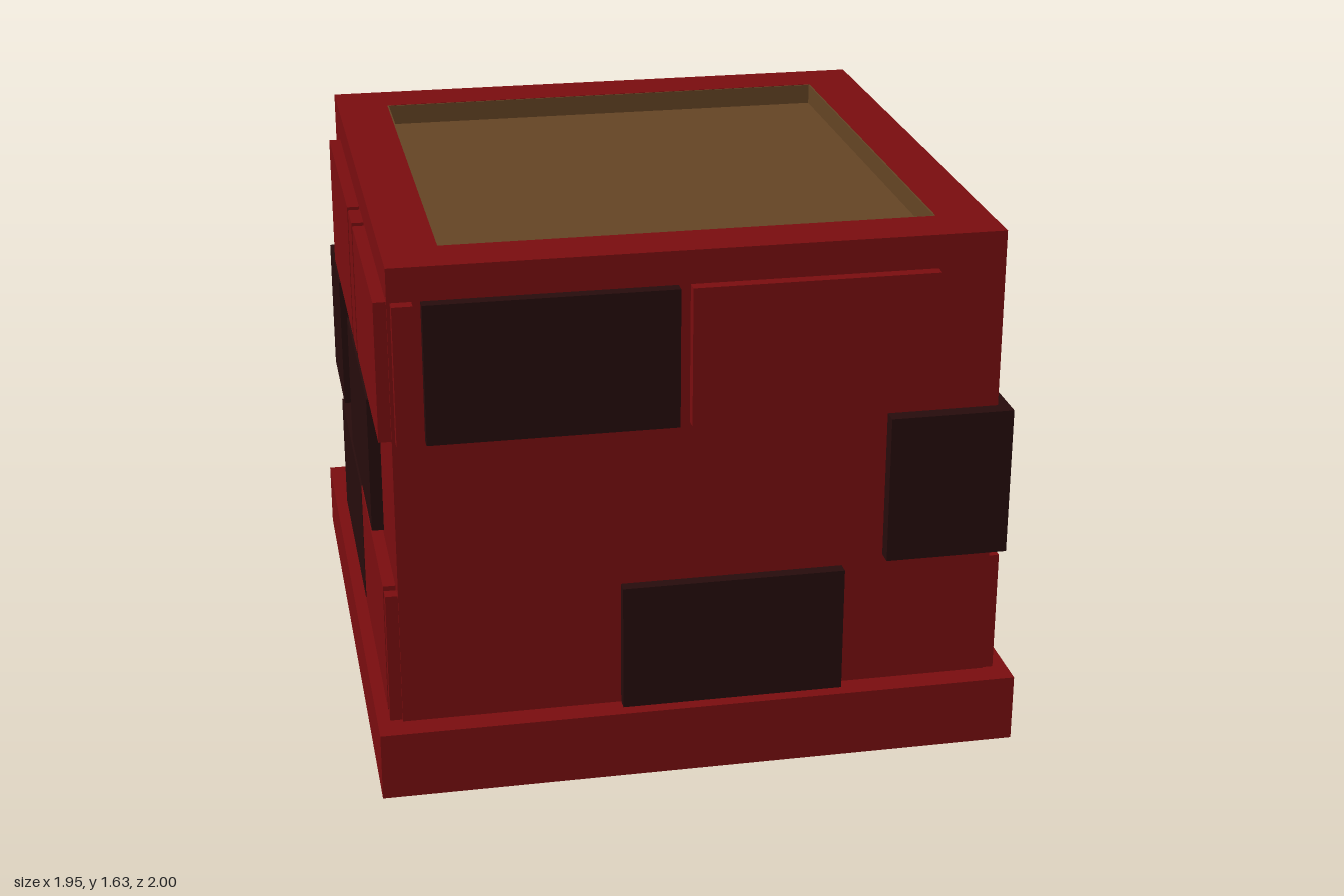
import * as THREE from 'three';

const red = new THREE.MeshStandardMaterial({ color: 0x7a0d0f, flatShading: true });
const dark = new THREE.MeshStandardMaterial({ color: 0x260c0c, flatShading: true });
const brown = new THREE.MeshStandardMaterial({ color: 0x644424, flatShading: true });

// Box given by its min and max along each axis
function box(name, mat, [x0, x1], [y0, y1], [z0, z1]) {
  const mesh = new THREE.Mesh(new THREE.BoxGeometry(x1 - x0, y1 - y0, z1 - z0), mat);
  mesh.position.set((x0 + x1) / 2, (y0 + y1) / 2, (z0 + z1) / 2);
  mesh.name = name;
  return mesh;
}

// Upright rectangular ring between y0 and y1 (half sizes outside and inside)
function frame(name, mat, ox, oz, ix, iz, y0, y1) {
  const rect = (P, x, z) => new P([[-x, -z], [x, -z], [x, z], [-x, z]].map(([a, b]) => new THREE.Vector2(a, b)));
  const shape = rect(THREE.Shape, ox, oz);
  shape.holes.push(rect(THREE.Path, ix, iz));
  const geo = new THREE.ExtrudeGeometry(shape, { depth: y1 - y0, bevelEnabled: false });
  geo.rotateX(-Math.PI / 2).translate(0, y0, 0);
  const mesh = new THREE.Mesh(geo, mat);
  mesh.name = name;
  return mesh;
}

export function createModel() {
  const group = new THREE.Group();
  group.name = 'brickPlanter';

  // Plinth, hollow body, lining and soil
  group.add(
    box('base', red, [-0.975, 0.975], [0, 0.21], [-1, 1]),
    frame('body', red, 0.9, 0.922, 0.735, 0.75, 0.21, 1.635),
    frame('lining', brown, 0.737, 0.752, 0.73, 0.745, 1.5, 1.634),
    box('soil', brown, [-0.732, 0.732], [1.5, 1.57], [-0.747, 0.747])
  );

  // Courses of bricks: bottom, middle, top
  const low = [0.2, 0.6], mid = [0.64, 1.075], top = [1.11, 1.533];
  const front = [0.88, 0.96], back = [-0.963, -0.88];
  const plusX = [0.86, 0.932], minusX = [-0.937, -0.86];

  const bricks = {
    frontBrick: [
      [dark, [-0.24, 0.435], [0.2, 0.605], front],
      [red, [-0.89, -0.83], top, front],
      [dark, [-0.805, -0.07], top, front],
      [red, [-0.035, 0.695], top, front],
    ],
    leftBrick: [
      [red, plusX, [0.2, 0.593], [0.62, 0.918]],
      [dark, [0.86, 0.937], [0.2, 0.593], [-0.22, 0.595]],
      [red, plusX, mid, [-0.58, 0.17]],
      [red, plusX, [1.12, 1.545], [-0.915, -0.16]],
    ],
    backBrick: [
      [red, [-0.23, 0.45], low, back],
      [red, [0.15, 0.89], mid, back],
      [dark, [-0.04, 0.695], top, back],
      [red, [-0.805, -0.07], top, back],
      [red, [-0.89, -0.83], top, back],
    ],
    rightBrick: [
      [dark, minusX, low, [-0.7, 0.08]],
      [red, minusX, [0.2, 0.62], [0.1, 0.84]],
      [red, minusX, [0.2, 0.62], [0.87, 0.91]],
      [dark, minusX, mid, [-0.23, 0.49]],
      [red, minusX, top, [-0.72, 0.03]],
      [red, minusX, top, [0.06, 0.19]],
      [red, minusX, top, [0.22, 0.91]],
    ],
    // Bricks wrapping around a corner
    cornerBrick: [
      [dark, [0.56, 0.935], [0.63, 1.09], [0.2, 0.97]],
      [dark, [0.57, 0.94], [0.2, 0.615], [-0.963, -0.575]],
      [dark, [-0.937, -0.54], [0.64, 1.08], [-0.965, -0.56]],
    ],
  };
  for (const [name, list] of Object.entries(bricks)) {
    const course = new THREE.Group();
    course.name = name + 's';
    for (const [mat, x, y, z] of list) course.add(box(name, mat, x, y, z));
    group.add(course);
  }
  return group;
}
